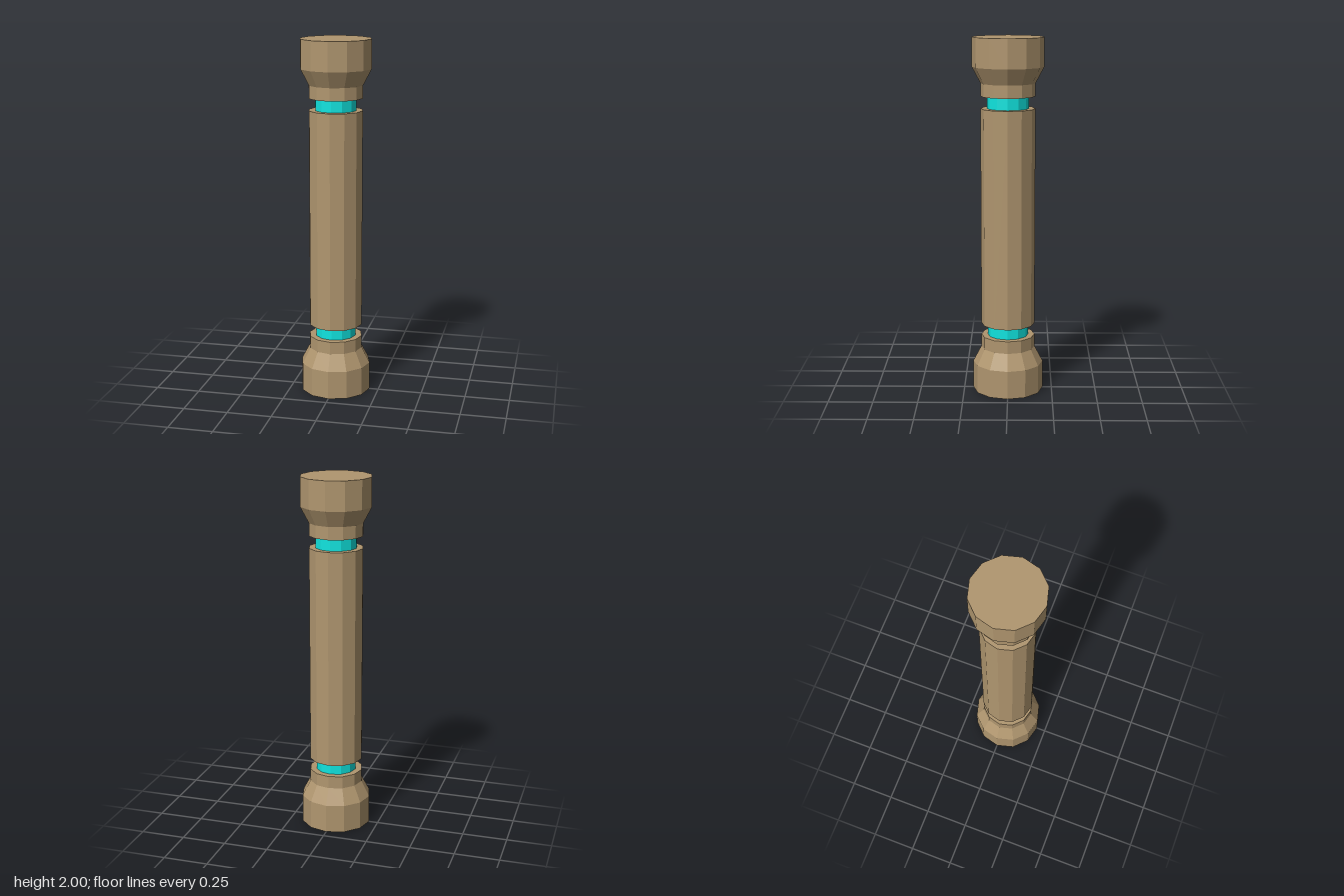
import * as THREE from 'three';

const SIDES = 12;

export function createModel() {
  const group = new THREE.Group();
  const brown = new THREE.MeshStandardMaterial({ color: 0xb0966f, flatShading: true });
  const cyan = new THREE.MeshStandardMaterial({ color: 0x10e5e0, flatShading: true });

  function add(name, geometry, material, y) {
    const mesh = new THREE.Mesh(geometry, material);
    mesh.name = name;
    mesh.position.y = y;
    group.add(mesh);
    return mesh;
  }

  // Long central shaft
  add('shaft', new THREE.CylinderGeometry(0.151, 0.151, 1.224, SIDES), brown, 1);

  // Flared end, closed at both faces; the upper one is the lower one turned over
  const profile = [[0, 0], [0.198, 0], [0.198, 0.161], [0.151, 0.25], [0.151, 0.321], [0, 0.321]]
    .map(([r, y]) => new THREE.Vector2(r, y));
  const endGeometry = new THREE.LatheGeometry(profile, SIDES);
  add('lowerEnd', endGeometry, brown, 0);
  add('upperEnd', endGeometry, brown, 2).rotation.x = Math.PI;

  // Recessed coloured necks between the shaft and the ends
  const neckGeometry = new THREE.CylinderGeometry(0.115, 0.115, 0.067, SIDES, 1, true);
  add('lowerNeck', neckGeometry, cyan, 0.3545);
  add('upperNeck', neckGeometry, cyan, 1.6455);

  return group;
}
